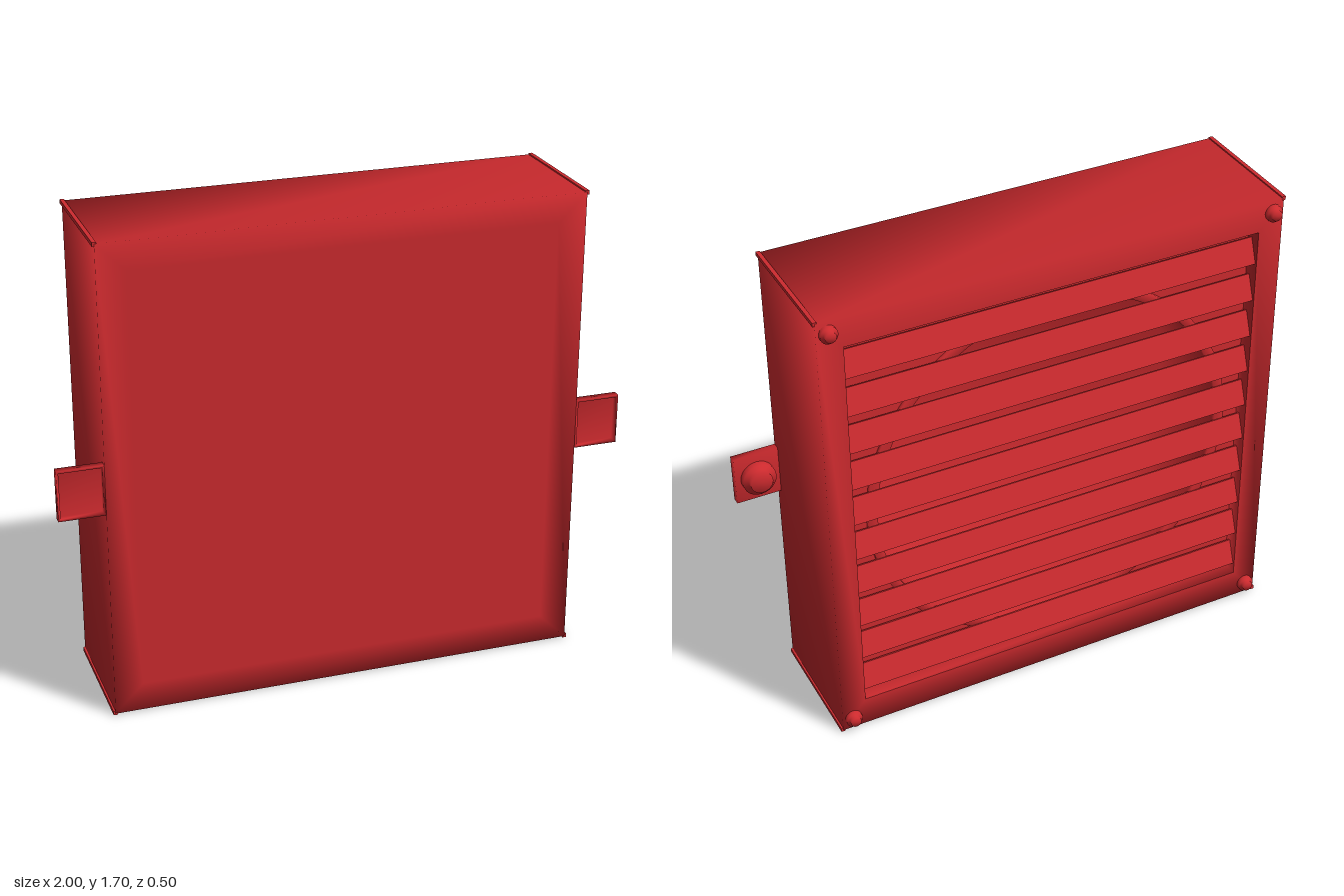
import * as THREE from 'three';

const red = new THREE.MeshStandardMaterial({ color: 0xcc2a2e });
const redThin = new THREE.MeshStandardMaterial({ color: 0xcc2a2e, side: THREE.DoubleSide });

// Joins rectangles [halfWidth, halfHeight, z] into one smooth-shaded skin.
function rectLoft(sections, capStart, capEnd) {
  const pos = [], idx = [];
  for (const [w, h, z] of sections) pos.push(-w, -h, z, w, -h, z, w, h, z, -w, h, z);
  for (let i = 0; i < sections.length - 1; i++) {
    for (let j = 0; j < 4; j++) {
      const a = i * 4 + j, b = i * 4 + (j + 1) % 4;
      idx.push(a, a + 4, b, b, a + 4, b + 4);
    }
  }
  const e = (sections.length - 1) * 4;
  if (capStart) idx.push(0, 1, 2, 0, 2, 3);
  if (capEnd) idx.push(e, e + 2, e + 1, e, e + 3, e + 2);
  const g = new THREE.BufferGeometry();
  g.setAttribute('position', new THREE.Float32BufferAttribute(pos, 3));
  g.setIndex(idx);
  g.computeVertexNormals();
  return g;
}

// Turns a profile [radius, distance towards the back].
function turned(profile, segments) {
  const g = new THREE.LatheGeometry(profile.map(p => new THREE.Vector2(...p)), segments);
  return g.rotateX(-Math.PI / 2);
}

// Stepped bolt: washer and head, facing the back.
function boltGeometry(r, washer, headR, top) {
  return turned([[r, 0], [r, washer], [headR, washer], [headR, top], [0, top]], 24);
}

export function createModel() {
  const model = new THREE.Group();
  const add = (name, geometry, x, y, z, material = red) => {
    const mesh = new THREE.Mesh(geometry, material);
    mesh.name = name;
    mesh.position.set(x, y, z);
    model.add(mesh);
    return mesh;
  };

  const W = 0.84, H = 0.845, CY = 0.85;      // housing half sizes and centre height
  const OW = 0.75, OH = 0.735;               // half sizes of the rear opening
  const BACK = -0.22, FRONT = 0.25, PLATE = -0.16;

  // Housing shell with its rear frame, and the walls of the recess
  add('housing', rectLoft([[W - 0.1, H - 0.1, FRONT], [W, H, FRONT], [W, H, BACK], [OW, OH, BACK]], true, false), 0, CY, 0);
  add('recessWall', rectLoft([[OW, OH, BACK], [OW, OH, PLATE]], false, false), 0, CY, 0);

  // Fan plate with a round opening
  const plate = new THREE.Shape([[-OW, -OH], [OW, -OH], [OW, OH], [-OW, OH]].map(p => new THREE.Vector2(...p)));
  plate.holes.push(new THREE.Path().absarc(0, 0, 0.65, 0, Math.PI * 2, true));
  add('fanPlate', new THREE.ShapeGeometry(plate, 48), 0, CY, PLATE, redThin);

  // Air duct behind the opening and the raised lip around it
  add('duct', turned([[0.65, 0], [0.65, -0.36], [0, -0.36]], 64), 0, CY, PLATE, redThin);
  add('ductLip', turned([[0.685, 0], [0.685, 0.015], [0.65, 0.015], [0.65, 0]], 64), 0, CY, PLATE, redThin);

  // Louvre slats, tilted down towards the outside
  const slat = new THREE.BoxGeometry(OW * 2, 0.095, 0.01);
  for (let i = 0; i < 10; i++) {
    add('slat', slat, 0, CY + (i - 4.5) * 0.145, -0.192).rotation.x = 0.35;
  }

  // Corner rods and rear corner bolts
  const rod = new THREE.BoxGeometry(0.014, 0.014, FRONT - BACK);
  const cornerBolt = boltGeometry(0.03, 0.015, 0.019, 0.03);
  for (const sx of [-1, 1]) {
    for (const sy of [-1, 1]) {
      add('cornerRod', rod, sx * 0.84, CY + sy * 0.843, (FRONT + BACK) / 2);
      add('cornerBolt', cornerBolt, sx * 0.8, CY + sy * 0.8, BACK);
    }
  }

  // Side mounting tabs, hollow towards the front, with their bolts
  const tab = rectLoft([[0.072, 0.082, 0.228], [0.072, 0.082, FRONT], [0.08, 0.09, FRONT], [0.08, 0.09, 0.222]], true, true);
  const tabBolt = boltGeometry(0.06, 0.025, 0.04, 0.045);
  for (const sx of [-1, 1]) {
    add('mountingTab', tab, sx * 0.92, CY, 0);
    add('tabBolt', tabBolt, sx * 0.92, CY, 0.222);
  }
  return model;
}
